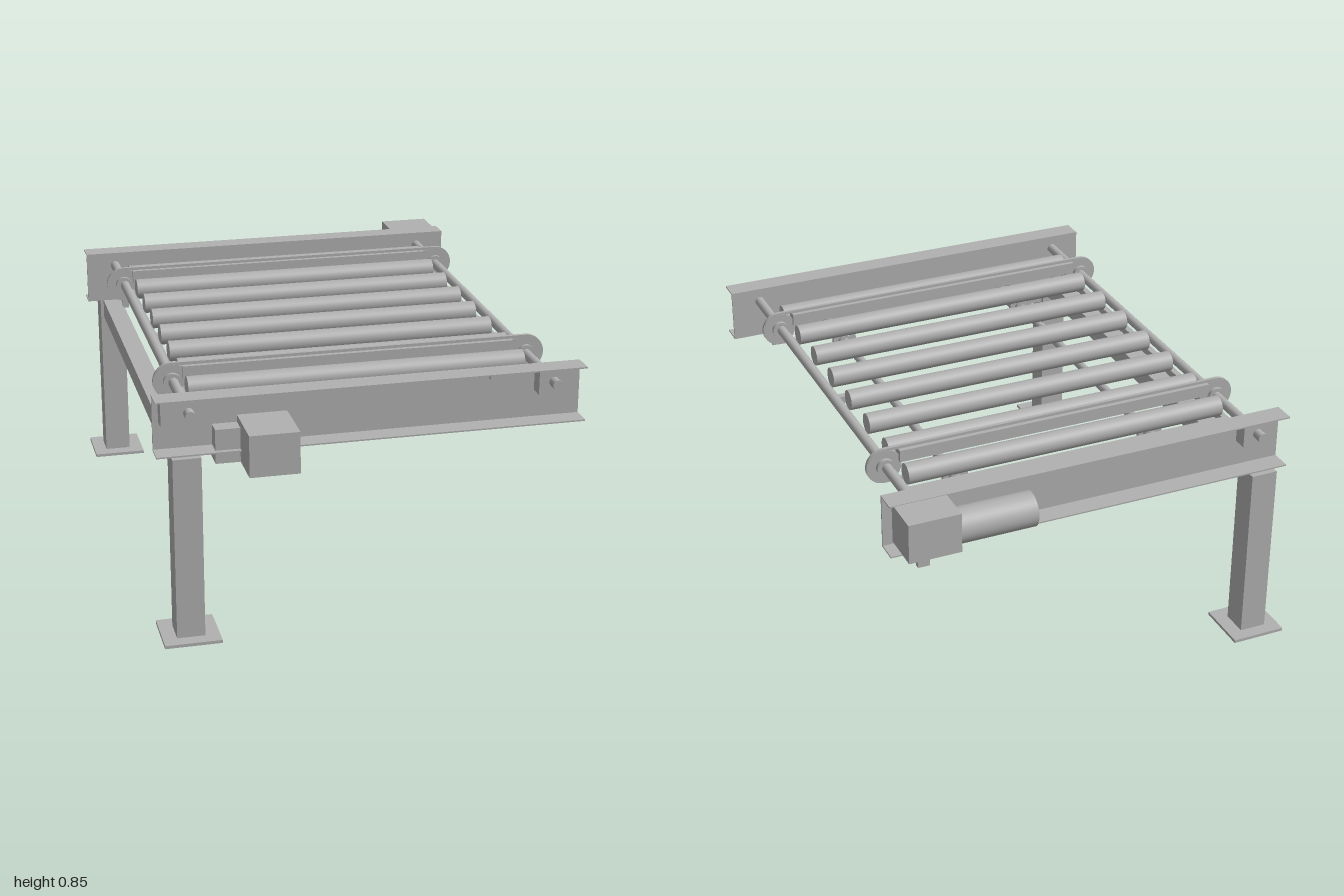
import * as THREE from 'three';

const steel = new THREE.MeshStandardMaterial({ color: 0xb0b0b0 });
steel.name = 'steel grey';

export function createModel() {
  const model = new THREE.Group();
  model.name = 'rollerConveyor';

  // box from its min and max along each axis
  const box = (name, x0, x1, y0, y1, z0, z1) => {
    const m = new THREE.Mesh(new THREE.BoxGeometry(x1 - x0, y1 - y0, Math.abs(z1 - z0)), steel);
    m.position.set((x0 + x1) / 2, (y0 + y1) / 2, (z0 + z1) / 2);
    m.name = name;
    model.add(m);
    return m;
  };
  // cylinder centred on a point, lying along the x or z axis
  const rod = (name, axis, r, length, x, y, z, sides = 32) => {
    const m = new THREE.Mesh(new THREE.CylinderGeometry(r, r, length, sides), steel);
    if (axis === 'x') m.rotation.z = Math.PI / 2;
    if (axis === 'z') m.rotation.x = Math.PI / 2;
    m.position.set(x, y, z);
    m.name = name;
    model.add(m);
    return m;
  };

  // closed loop of chain around the two end wheels
  const stadium = (target, r, half, y) => {
    target.moveTo(-half, y - r);
    target.lineTo(half, y - r);
    target.absarc(half, y, r, -Math.PI / 2, Math.PI / 2, false);
    target.lineTo(-half, y + r);
    target.absarc(-half, y, r, Math.PI / 2, Math.PI * 1.5, false);
    return target;
  };
  const chainShape = stadium(new THREE.Shape(), 0.064, 0.62, 0.79);
  chainShape.holes.push(stadium(new THREE.Path(), 0.054, 0.62, 0.79));
  const chainGeometry = new THREE.ExtrudeGeometry(chainShape, { depth: 0.012, bevelEnabled: false, curveSegments: 20 });
  chainGeometry.translate(0, 0, -0.006);

  for (const s of [1, -1]) {
    // channel rails, open to the outside
    box('railWeb', -0.728, 0.725, 0.648, 0.84, s * 0.798, s * 0.804);
    box('railTopFlange', -0.728, 0.725, 0.835, 0.84, s * 0.798, s * 0.876);
    box('railBottomFlange', -0.728, 0.725, 0.648, 0.653, s * 0.798, s * 0.876);

    // legs and foot plates
    box('leg', -0.68, -0.585, 0.01, 0.648, s * 0.8, s * 0.896);
    box('footPlate', -0.728, -0.535, 0, 0.011, s * 0.75, s * 0.942);

    // shaft bearings
    box('bearingBlock', s > 0 ? -0.708 : -0.672, s > 0 ? -0.535 : -0.565, 0.747, 0.827, s * 0.804, s * 0.855);
    box('bearingBlock', 0.565, 0.672, 0.747, 0.827, s * 0.804, s * 0.855);

    // end bars of the roller frame
    box('frameEndBar', -0.6, 0.6, 0.742, 0.768, s * 0.672, s * 0.705);

    // transfer chain, its guide bar and its wheels
    const z = s * 0.548;
    const chain = new THREE.Mesh(chainGeometry, steel);
    chain.position.z = z;
    chain.name = 'transferChain';
    model.add(chain);
    box('chainGuide', -0.585, 0.57, 0.8, 0.843, z - 0.02, z + 0.02);
    for (const x of [-0.62, 0.62]) {
      rod('chainWheel', 'z', 0.06, 0.014, x, 0.79, z);
      rod('chainWheelHub', 'z', 0.03, 0.042, x, 0.79, z);
    }
    for (const x of [-0.367, 0.367]) {
      rod('idlerWheel', 'z', 0.046, 0.014, x, 0.69, z);
      rod('idlerHub', 'z', 0.026, 0.042, x, 0.69, z);
    }
  }

  // beam between the legs
  box('legBeam', -0.668, -0.6, 0.578, 0.648, -0.8, 0.8);

  // long shafts, side frame bars and lift posts
  for (const s of [-1, 1]) {
    rod('driveShaft', 'z', 0.017, 1.785, s * 0.617, 0.79, 0);
    rod('idlerShaft', 'z', 0.016, 1.57, s * 0.367, 0.69, 0);
    const x0 = s > 0 ? 0.582 : -0.604;
    box('frameSideBar', x0, x0 + 0.022, 0.742, 0.768, -0.7, 0.71);
    for (const t of [-1, 1]) box('liftPost', x0, x0 + 0.022, 0.643, 0.742, t * 0.7, t * 0.722);
  }
  box('frameMiddleBar', -0.585, 0.582, 0.742, 0.768, -0.012, 0.012);
  rod('linkRod', 'x', 0.005, 0.72, 0, 0.69, 0.755, 12);

  // rollers
  for (let i = 0; i < 8; i++) rod('roller', 'x', 0.036, 1.163, -0.003, 0.796, (i - 3.5) * 0.182);

  // rear drive
  box('rearGearbox', 0.53, 0.71, 0.697, 0.838, -1.0, -0.856);
  rod('rearMotor', 'x', 0.06, 0.27, 0.395, 0.755, -0.934);
  box('rearBracket', 0.597, 0.638, 0.597, 0.7, -0.89, -0.87);

  // front lift drive
  box('frontMotor', -0.45, -0.283, 0.607, 0.75, 0.805, 1.0);
  box('frontGearbox', -0.533, -0.39, 0.607, 0.725, 0.705, 0.86);

  // small sensor below the front flange
  box('sensor', 0.405, 0.44, 0.805, 0.836, 0.804, 0.825);

  return model;
}
